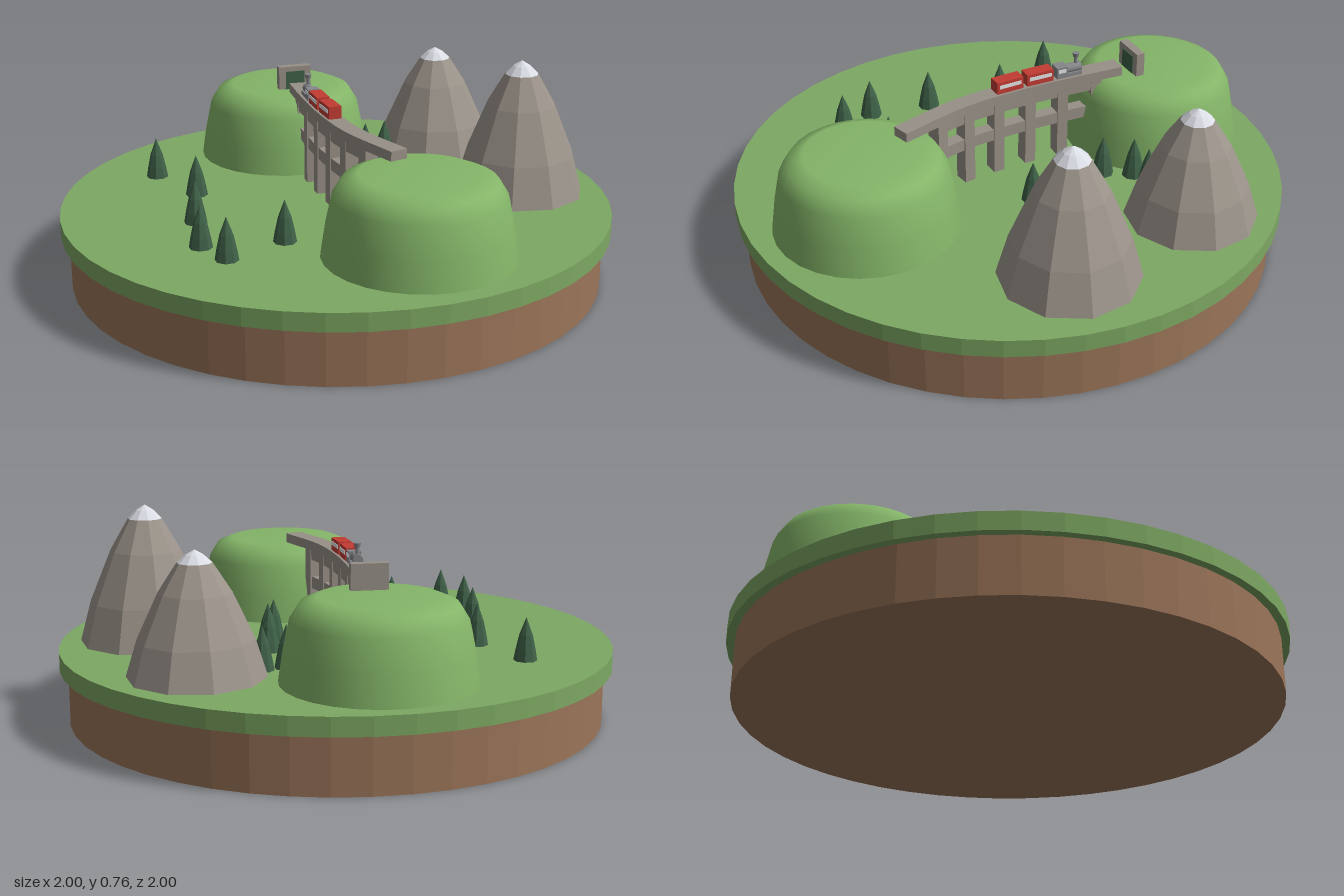
import * as THREE from 'three';

const mat = (name, color) => {
  const m = new THREE.MeshStandardMaterial({ color });
  m.name = name;
  return m;
};

// faceted normals for low-poly parts
function flat(geo) {
  const g = geo.index ? geo.toNonIndexed() : geo;
  g.computeVertexNormals();
  return g;
}

const lathe = (points, sides) =>
  new THREE.LatheGeometry(points.map(([r, y]) => new THREE.Vector2(r, y)), sides);

export function createModel() {
  const root = new THREE.Group();
  root.name = 'railwayIsland';
  const earth = mat('earth', 0x9b7559);
  const grass = mat('grass', 0x7da862);
  const hillGreen = mat('hillGreen', 0x84b568);
  const rock = mat('rock', 0x9c948b);
  const snow = mat('snow', 0xdadde4);
  const pine = mat('pine', 0x3f6148);
  const stone = mat('stone', 0x989087);
  const red = mat('trainRed', 0xc23c33);
  const steel = mat('engineGrey', 0x85868a);
  const glass = mat('windowWhite', 0xe2e4e6);

  function add(name, geo, material, x = 0, y = 0, z = 0, parent = root) {
    const m = new THREE.Mesh(geo, material);
    m.name = name;
    m.position.set(x, y, z);
    parent.add(m);
    return m;
  }
  const box = (name, w, h, d, material, x, y, z, parent) =>
    add(name, new THREE.BoxGeometry(w, h, d), material, x, y, z, parent);

  // round island: earth below, turf on top
  const GROUND = 0.265;
  add('earthBase', flat(new THREE.CylinderGeometry(0.97, 0.97, 0.2, 48)), earth, 0, 0.1, 0);
  add('turf', flat(new THREE.CylinderGeometry(1, 1, 0.065, 48)), grass, 0, 0.2325, 0);

  // smooth flat-topped hills
  const hillProfile = [[0.33, 0], [0.315, 0.1], [0.292, 0.21], [0.26, 0.262], [0.205, 0.285], [0, 0.286]];
  for (const [x, z] of [[-0.565, -0.245], [0.58, 0.165]])
    add('hill', lathe(hillProfile, 28), hillGreen, x, GROUND, z);

  // ten-sided mountains with snow caps
  for (const [x, z, r, h] of [[-0.16, -0.69, 0.235, 0.425], [0.388, -0.565, 0.245, 0.497]]) {
    const at = ([a, b]) => [a * r, b * h];
    add('mountain', flat(lathe([[1, 0], [0.83, 0.3], [0.52, 0.67], [0.25, 0.9]].map(at), 10)), rock, x, GROUND, z);
    add('snowCap', flat(lathe([[0.25, 0.9], [0.13, 0.96], [0, 1]].map(at), 10)), snow, x, GROUND, z);
  }

  // pine trees
  const treeGeo = flat(lathe([[0, 0], [0.041, 0], [0.034, 0.04], [0.023, 0.09], [0, 0.152]], 8));
  const trees = [[-0.22, -0.47], [-0.245, -0.39], [-0.185, -0.295], [-0.02, -0.31], [0.065, -0.255],
    [0.11, -0.2], [-0.65, 0.33], [-0.385, 0.345], [-0.16, 0.525], [0.19, 0.415], [0.035, 0.655], [0.18, 0.66]];
  for (const [x, z] of trees) add('pineTree', treeGeo, pine, x, GROUND, z);

  // curved track line
  const track = new THREE.CatmullRomCurve3([[-0.42, -0.19], [-0.25, -0.098], [-0.06, -0.005], [0.17, 0.08], [0.44, 0.122]]
    .map(([x, z]) => new THREE.Vector3(x, 0, z)));
  // point and heading on the track at a given x
  function onTrack(x) {
    let a = 0, b = 1;
    for (let i = 0; i < 30; i++) {
      const mid = (a + b) / 2;
      if (track.getPoint(mid).x < x) a = mid; else b = mid;
    }
    const p = track.getPoint(a), d = track.getTangent(a);
    return { x: p.x, z: p.z, d, yaw: Math.atan2(-d.z, d.x) };
  }
  // a band of masonry that follows the track
  function band(name, x0, x1, y0, y1, width) {
    const left = [], right = [];
    for (let i = 0; i <= 16; i++) {
      const { x, z, d } = onTrack(x0 + (x1 - x0) * i / 16);
      const ox = -d.z * width / 2, oz = d.x * width / 2;
      left.push(new THREE.Vector2(x + ox, -z - oz));
      right.unshift(new THREE.Vector2(x - ox, -z + oz));
    }
    const geo = new THREE.ExtrudeGeometry(new THREE.Shape([...left, ...right]), { depth: y1 - y0, bevelEnabled: false });
    geo.rotateX(-Math.PI / 2);
    add(name, geo, stone, 0, y0, 0);
  }
  // group standing on the track line, its x axis along the rails
  function station(name, x, y) {
    const s = onTrack(x), g = new THREE.Group();
    g.name = name;
    g.position.set(s.x, y, s.z);
    g.rotation.y = s.yaw;
    root.add(g);
    return g;
  }

  // viaduct
  band('viaductDeck', -0.419, 0.439, 0.55, 0.585, 0.066);
  band('viaductSpandrel', -0.33, 0.29, 0.51, 0.55, 0.05);
  band('viaductTie', -0.33, 0.27, 0.4, 0.445, 0.046);
  for (let i = 0; i < 6; i++) {
    const pier = station('viaductPier', -0.33 + i * 0.12, GROUND);
    box('pierShaft', 0.042, 0.285, 0.056, stone, 0, 0.1425, 0, pier);
  }

  // tunnel portal on the left hill
  const portal = new THREE.Group();
  portal.name = 'tunnelPortal';
  portal.position.set(-0.47, 0.55, -0.215);
  portal.rotation.y = -0.45;
  root.add(portal);
  box('portalWall', 0.032, 0.09, 0.128, stone, 0, 0.045, 0, portal);
  box('portalOpening', 0.006, 0.07, 0.075, pine, 0.016, 0.036, 0, portal);

  // steam engine
  const engine = station('engine', -0.235, 0.585);
  box('engineChassis', 0.1, 0.014, 0.044, steel, 0, 0.007, 0, engine);
  box('engineCab', 0.042, 0.043, 0.046, steel, 0.03, 0.0215, 0, engine);
  const boiler = add('boiler', new THREE.CylinderGeometry(0.018, 0.018, 0.062, 14), steel, -0.02, 0.024, 0, engine);
  boiler.rotation.z = Math.PI / 2;
  add('chimney', new THREE.CylinderGeometry(0.007, 0.007, 0.04, 10), steel, -0.034, 0.054, 0, engine);
  add('chimneyCap', new THREE.CylinderGeometry(0.013, 0.01, 0.016, 10), steel, -0.034, 0.073, 0, engine);
  for (const s of [1, -1]) box('cabWindow', 0.03, 0.014, 0.003, glass, 0.03, 0.029, s * 0.0235, engine);

  // red carriages with a window strip on each side
  for (const x of [-0.128, -0.015]) {
    const car = station('carriage', x, 0.585);
    box('carriageBody', 0.106, 0.046, 0.048, red, 0, 0.023, 0, car);
    for (const s of [1, -1]) box('carriageWindows', 0.088, 0.014, 0.003, glass, 0, 0.027, s * 0.0245, car);
  }
  return root;
}
